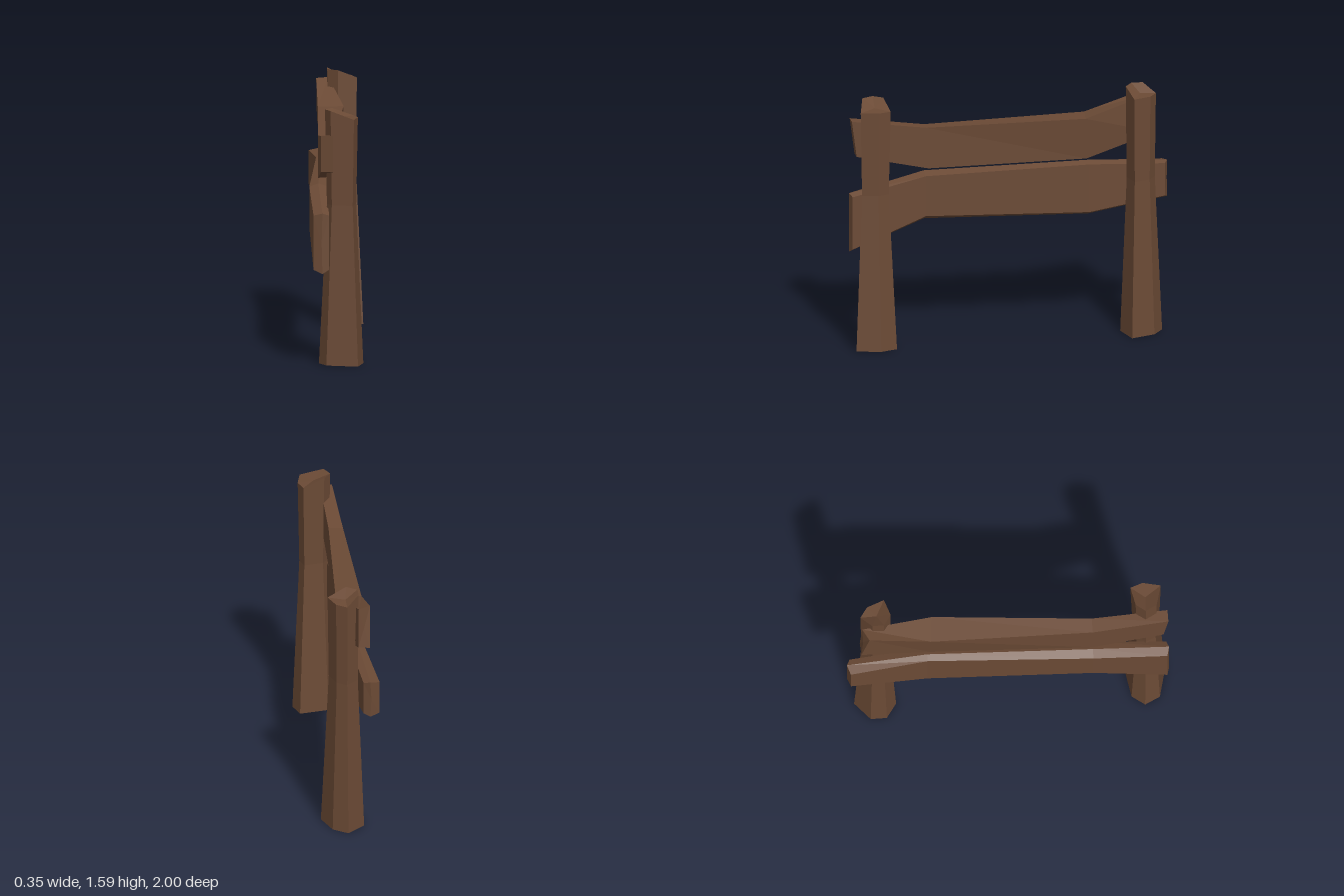
import * as THREE from 'three';

const wood = new THREE.MeshStandardMaterial({ color: 0x6b4a35, flatShading: true });

// Skin a run of equal-sized rings of [x, y, z] points and close both ends with fans
function loft(name, rings, startShift = [0, 0, 0], endShift = [0, 0, 0]) {
  const pos = [];
  const tri = (...pts) => pts.forEach((p) => pos.push(...p));
  const n = rings[0].length;
  const centre = (ring, shift) =>
    [0, 1, 2].map((k) => ring.reduce((s, p) => s + p[k], 0) / n + shift[k]);
  for (let r = 0; r < rings.length - 1; r++) {
    for (let i = 0; i < n; i++) {
      const j = (i + 1) % n;
      const a = rings[r][i], b = rings[r][j], a2 = rings[r + 1][i], b2 = rings[r + 1][j];
      tri(b, a, a2);
      tri(b, a2, b2);
    }
  }
  const first = rings[0], last = rings[rings.length - 1];
  const c0 = centre(first, startShift), c1 = centre(last, endShift);
  for (let i = 0; i < n; i++) {
    const j = (i + 1) % n;
    tri(c0, first[i], first[j]);
    tri(c1, last[j], last[i]);
  }
  const geo = new THREE.BufferGeometry();
  geo.setAttribute('position', new THREE.Float32BufferAttribute(pos, 3));
  geo.computeVertexNormals();
  const mesh = new THREE.Mesh(geo, wood);
  mesh.name = name;
  return mesh;
}

// Six-sided post: wide foot, narrow waist, slightly flared slanted top
function post(name, foot, [cx, cz], waist, flare, topHeights) {
  const ring = (s, y) => foot.map(([x, z], i) =>
    [cx + (x - cx) * s, Array.isArray(y) ? y[i] : y, cz + (z - cz) * s]);
  return loft(name, [ring(1, 0), ring(waist, 1), ring(flare, topHeights)], [0, 0, 0], [0, -0.02, 0]);
}

export function createModel() {
  const group = new THREE.Group();
  group.name = 'fence';

  // Posts
  group.add(post('frontPost',
    [[0.12, 0.995], [-0.075, 0.945], [-0.12, 0.85], [-0.06, 0.77], [0.12, 0.74], [0.155, 0.845]],
    [0.025, 0.875], 0.66, 0.74, [1.54, 1.59, 1.59, 1.59, 1.54, 1.54]));
  group.add(post('rearPost',
    [[0.175, -0.73], [0.01, -0.685], [-0.08, -0.75], [-0.08, -0.85], [0.03, -0.945], [0.12, -0.88]],
    [0.035, -0.805], 0.67, 0.72, [1.54, 1.59, 1.59, 1.59, 1.54, 1.54]));

  // Upper rail: four-cornered board, slightly twisted at the rear bend
  group.add(loft('upperRail', [
    [[-0.11, 1.445, 0.995], [-0.11, 1.215, 0.965], [-0.035, 1.215, 0.965], [-0.035, 1.445, 0.995]],
    [[-0.12, 1.375, 0.525], [-0.12, 1.11, 0.525], [-0.03, 1.115, 0.515], [-0.03, 1.38, 0.525]],
    [[-0.11, 1.4, -0.48], [-0.08, 1.135, -0.48], [0.03, 1.14, -0.47], [0.05, 1.405, -0.46]],
    [[-0.115, 1.52, -0.86], [-0.11, 1.255, -0.91], [-0.035, 1.265, -0.915], [-0.04, 1.52, -0.9]],
  ]));

  // Lower rail: board with ridged top, bottom and ends
  // Each row: z, outer x, ridge x, inner x, bottom, top, ridge height, end bevel in z
  const lower = [
    [0.985, -0.155, -0.1, -0.06, 0.605, 0.945, 0.015, 0.015],
    [0.525, -0.175, -0.12, -0.06, 0.795, 1.055, 0.02, 0],
    [-0.5, -0.12, -0.08, -0.03, 0.77, 1.08, 0.015, 0],
    [-0.98, -0.16, -0.1, -0.06, 0.84, 1.05, 0.01, -0.02],
  ].map(([z, xo, xm, xi, y0, y1, d, e]) => [
    [xo, y1, z], [xo, y0, z], [xm, y0 - d * 1.6, z + e],
    [xi, y0, z], [xi, y1, z], [xm, y1 + d, z + e],
  ]);
  group.add(loft('lowerRail', lower, [0, 0, 0.01], [0, 0, -0.013]));

  return group;
}
